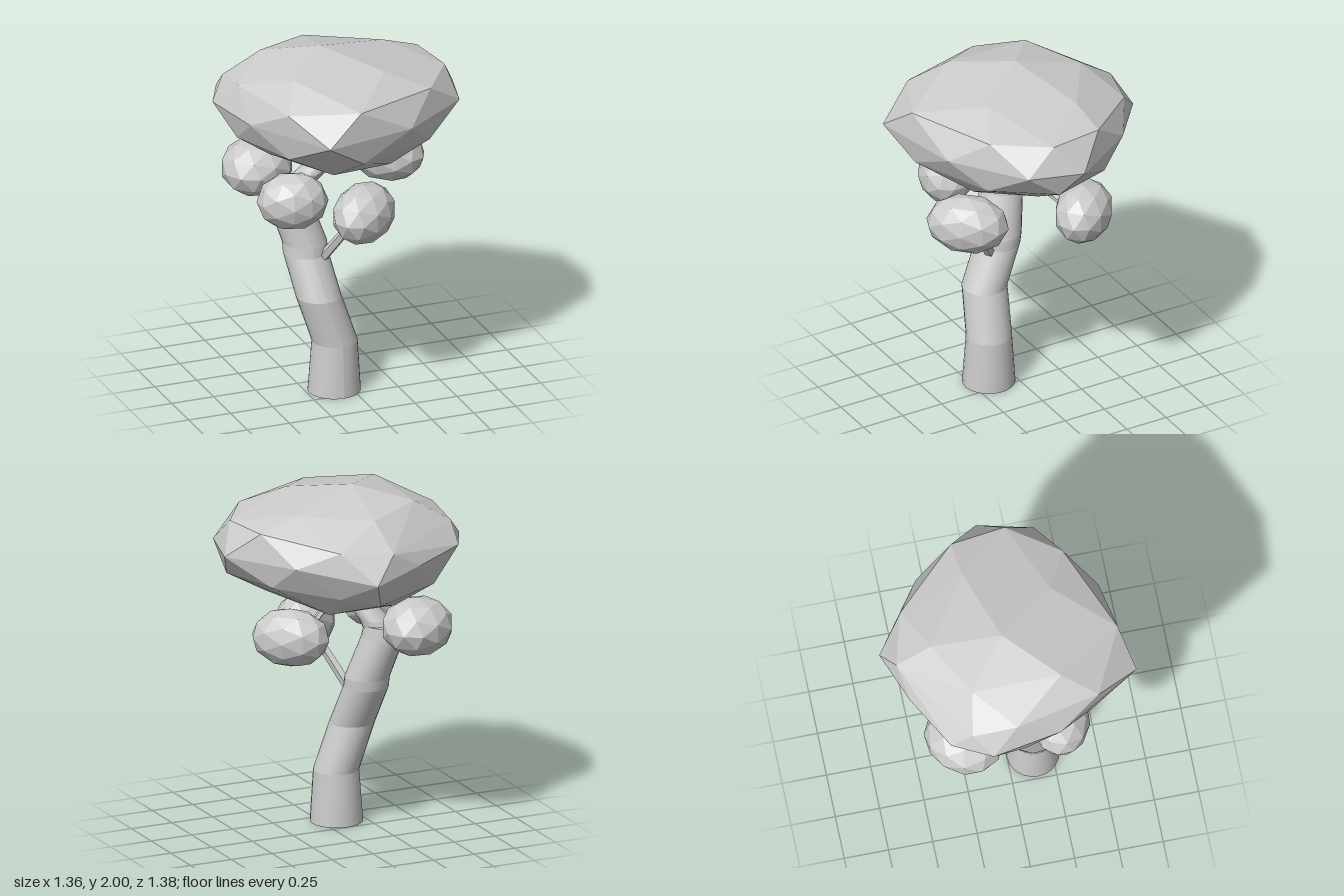
import * as THREE from 'three';
import { ConvexGeometry } from 'three/addons/geometries/ConvexGeometry.js';

const smooth = new THREE.MeshStandardMaterial({ color: 0xcccccc });
const faceted = new THREE.MeshStandardMaterial({ color: 0xcccccc, flatShading: true });

// Bent limb: one sheared cylinder per pair of level rings [x, y, z, radius]
function limb(name, rings, sides) {
  const group = new THREE.Group();
  group.name = name;
  for (let i = 0; i < rings.length - 1; i++) {
    const [x0, y0, z0, r0] = rings[i];
    const [x1, y1, z1, r1] = rings[i + 1];
    const open = i > 0 && i < rings.length - 2;
    const geo = new THREE.CylinderGeometry(r1, r0, y1 - y0, sides, 1, open);
    const p = geo.attributes.position;
    for (let k = 0; k < p.count; k++) {
      const t = p.getY(k) > 0 ? 1 : 0;
      p.setX(k, p.getX(k) + x0 + (x1 - x0) * t);
      p.setZ(k, p.getZ(k) + z0 + (z1 - z0) * t);
      p.setY(k, t ? y1 : y0);
    }
    geo.computeVertexNormals();
    const mesh = new THREE.Mesh(geo, smooth);
    mesh.name = name + 'Segment';
    group.add(mesh);
  }
  return group;
}

// Straight thin twig between two points
function twig(from, to, radius) {
  const a = new THREE.Vector3(...from);
  const b = new THREE.Vector3(...to);
  const dir = b.clone().sub(a);
  const mesh = new THREE.Mesh(new THREE.CylinderGeometry(radius * 0.8, radius, dir.length(), 5), faceted);
  mesh.position.copy(a).add(b).multiplyScalar(0.5);
  mesh.quaternion.setFromUnitVectors(new THREE.Vector3(0, 1, 0), dir.normalize());
  mesh.name = 'twig';
  return mesh;
}

// Small low-poly leaf clump, its long axis turned about y
function leafClump(position, size, turn) {
  const mesh = new THREE.Mesh(new THREE.IcosahedronGeometry(1, 1), faceted);
  mesh.position.set(...position);
  mesh.scale.set(...size);
  mesh.rotation.y = turn;
  mesh.name = 'leafClump';
  return mesh;
}

export function createModel() {
  const tree = new THREE.Group();
  tree.name = 'tree';

  tree.add(limb('trunk', [
    [-0.09, 0, 0.147, 0.148],
    [-0.088, 0.3, 0.147, 0.128],
    [-0.175, 0.57, 0.125, 0.127],
    [-0.21, 0.8, 0.02, 0.126],
    [-0.212, 0.86, 0.01, 0.125],
    [-0.285, 1.1, -0.045, 0.122],
    [-0.29, 1.17, -0.05, 0.115],
  ], 24));

  // Bough from the trunk top into the crown
  tree.add(limb('bough', [
    [-0.28, 1.1, -0.05, 0.09],
    [-0.24, 1.2, -0.02, 0.085],
    [-0.18, 1.29, 0.04, 0.08],
    [-0.1, 1.38, 0.06, 0.075],
    [-0.06, 1.46, 0.06, 0.07],
  ], 16));

  // Twigs to the clumps
  tree.add(twig([-0.14, 0.79, 0.11], [0, 1.1, 0.31], 0.03));
  tree.add(twig([-0.05, 1.39, 0.02], [0.3, 1.18, -0.18], 0.022));
  tree.add(twig([-0.27, 1.11, 0.02], [-0.36, 1.2, 0.22], 0.022));
  tree.add(twig([-0.28, 1.1, -0.12], [-0.34, 1.2, -0.26], 0.022));

  // Clumps
  const q = Math.PI / 4;
  tree.add(leafClump([0.01, 1.12, 0.34], [0.235, 0.167, 0.165], q));
  tree.add(leafClump([0.36, 1.22, -0.2], [0.225, 0.167, 0.16], -q));
  tree.add(leafClump([-0.38, 1.22, 0.25], [0.2, 0.165, 0.16], -0.3));
  tree.add(leafClump([-0.37, 1.215, -0.3], [0.23, 0.165, 0.2], q));

  // Crown: faceted hull over uneven rings, from the top down
  const crownPoints = [
    [-0.1, 2, -0.03],
    [0.33, 1.91, -0.17], [0.15, 1.93, 0.29], [-0.37, 1.94, 0.25], [-0.37, 1.93, -0.25], [-0.05, 1.9, -0.42],
    [0.22, 1.78, -0.54], [0.54, 1.84, -0.19], [0.58, 1.84, 0.12], [0.38, 1.84, 0.41], [-0.12, 1.85, 0.62],
    [-0.48, 1.82, 0.44], [-0.59, 1.84, -0.04], [-0.58, 1.8, -0.29], [-0.07, 1.76, -0.62],
    [0.06, 1.61, -0.69], [0.43, 1.68, -0.41], [0.68, 1.68, -0.02], [0.6, 1.69, 0.29], [0.2, 1.69, 0.575],
    [-0.33, 1.69, 0.685], [-0.61, 1.69, 0.2], [-0.68, 1.69, -0.19], [-0.57, 1.69, -0.41], [-0.25, 1.66, -0.58],
    [0.61, 1.545, 0.1], [0.5, 1.54, -0.25], [0.2, 1.5, -0.5], [0, 1.465, -0.6], [-0.4, 1.5, -0.45],
    [-0.61, 1.54, 0], [-0.46, 1.54, 0.4], [-0.1, 1.54, 0.61], [0.37, 1.54, 0.42],
    [0.37, 1.41, 0.1], [0.2, 1.375, -0.36], [-0.2, 1.375, -0.36], [-0.42, 1.41, 0], [-0.2, 1.41, 0.41],
    [0.15, 1.41, 0.38], [-0.03, 1.355, 0],
  ].map((c) => new THREE.Vector3(...c));
  const crown = new THREE.Mesh(new ConvexGeometry(crownPoints), faceted);
  crown.name = 'crown';
  tree.add(crown);

  return tree;
}
